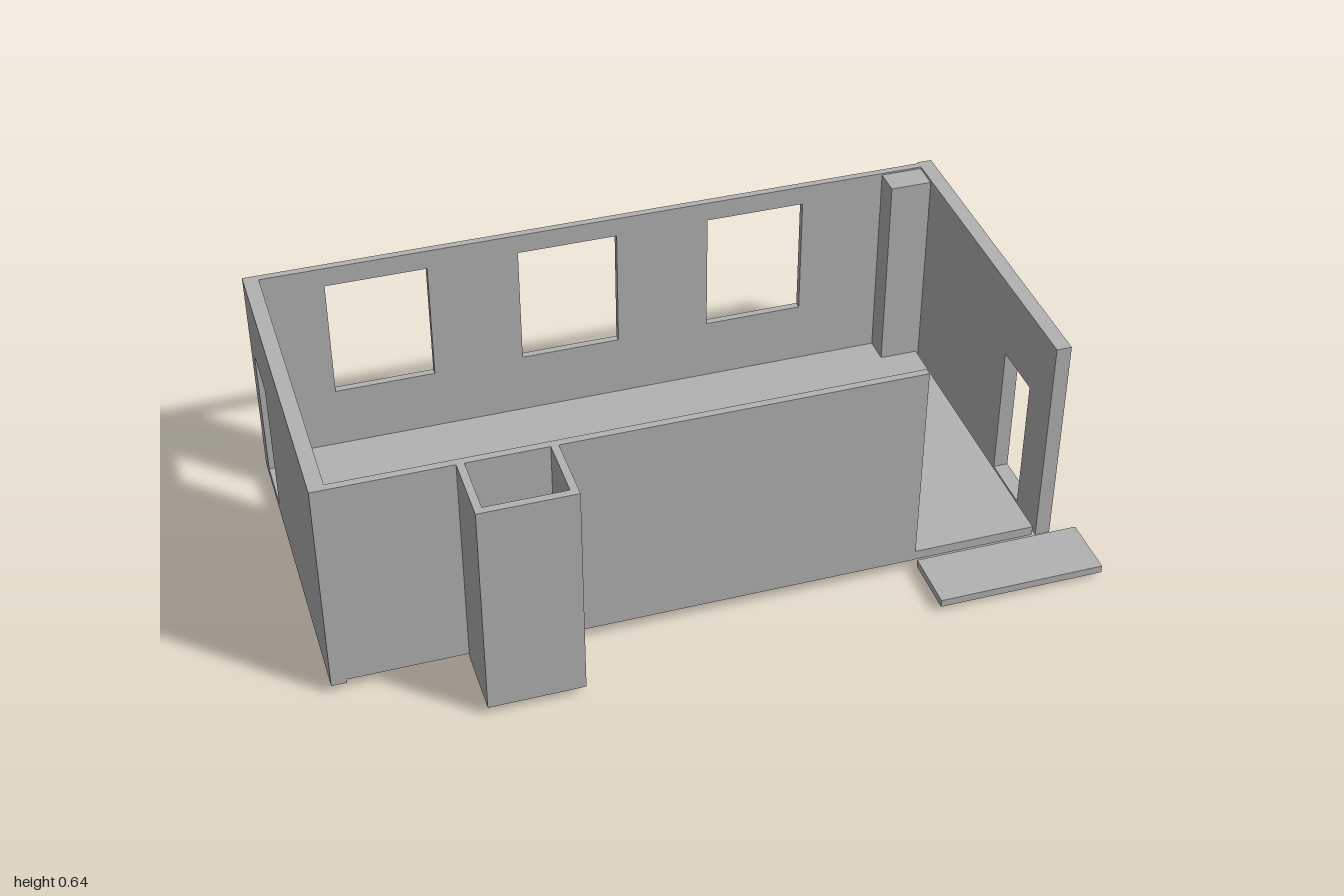
import * as THREE from 'three';

const plaster = new THREE.MeshStandardMaterial({ color: 0xb2b2b2 });
plaster.name = 'grey plaster';

// Rectangular outline or hole from two corners
function rect(Type, [a0, y0, a1, y1]) {
  const r = new Type();
  r.moveTo(a0, y0);
  r.lineTo(a1, y0);
  r.lineTo(a1, y1);
  r.lineTo(a0, y1);
  r.closePath();
  return r;
}

// Upright panel with rectangular openings
function panel(name, outline, depth, holes) {
  const shape = rect(THREE.Shape, outline);
  for (const h of holes) shape.holes.push(rect(THREE.Path, h));
  const geo = new THREE.ExtrudeGeometry(shape, { depth, bevelEnabled: false });
  const mesh = new THREE.Mesh(geo, plaster);
  mesh.name = name;
  return mesh;
}

// Wall running along x, from z0 to z1
function wallX(name, outline, z0, z1, holes = []) {
  const mesh = panel(name, outline, z1 - z0, holes);
  mesh.position.z = z0;
  return mesh;
}

// Wall running along z, from x0 to x1
function wallZ(name, outline, x0, x1, holes = []) {
  const mesh = panel(name, outline, x1 - x0, holes);
  mesh.rotation.y = -Math.PI / 2;
  mesh.position.x = x1;
  return mesh;
}

// Box from its two extreme corners
function block(name, x0, x1, y0, y1, z0, z1) {
  const mesh = new THREE.Mesh(new THREE.BoxGeometry(x1 - x0, y1 - y0, z1 - z0), plaster);
  mesh.name = name;
  mesh.position.set((x0 + x1) / 2, (y0 + y1) / 2, (z0 + z1) / 2);
  return mesh;
}

export function createModel() {
  const house = new THREE.Group();
  house.name = 'roomShell';
  const top = 0.64;

  // Floor slab
  house.add(block('floor', -0.96, 0.877, 0.036, 0.063, -0.535, 0.364));

  // Back wall with three windows
  const windows = [-0.792, -0.269, 0.264].map((x) => [x, 0.24, x + 0.275, 0.585]);
  house.add(wallX('backWall', [-0.96, 0.036, 0.885, top], -0.555, -0.535, windows));

  // Front wall with a doorway into the shaft
  house.add(wallX('frontWall', [-0.96, 0.036, 0.545, top], 0.345, 0.365,
    [[-0.6, 0.063, -0.455, 0.435]]));

  // End walls, each with a narrow opening
  house.add(wallZ('rightEndWall', [-0.56, 0.036, 0.368, top], 0.885, 0.925,
    [[0.09, 0.055, 0.245, 0.435]]));
  house.add(wallZ('leftEndWall', [-0.555, 0.025, 0.365, top], -1, -0.96,
    [[-0.49, 0.055, -0.335, 0.435]]));

  // Corner pillar
  house.add(block('cornerPillar', 0.77, 0.884, 0, 0.635, -0.554, -0.46));

  // Open shaft on the front
  const shaft = new THREE.Group();
  shaft.name = 'frontShaft';
  shaft.add(block('shaftFront', -0.65, -0.4, 0.025, top, 0.535, 0.555));
  for (const x of [-0.65, -0.42]) {
    shaft.add(block('shaftSide', x, x + 0.02, 0.025, top, 0.365, 0.535));
  }
  shaft.add(block('shaftBase', -0.63, -0.42, 0.015, 0.036, 0.365, 0.535));
  house.add(shaft);

  // Entrance step
  house.add(block('entranceStep', 0.55, 1, 0.015, 0.036, 0.369, 0.535));

  return house;
}
